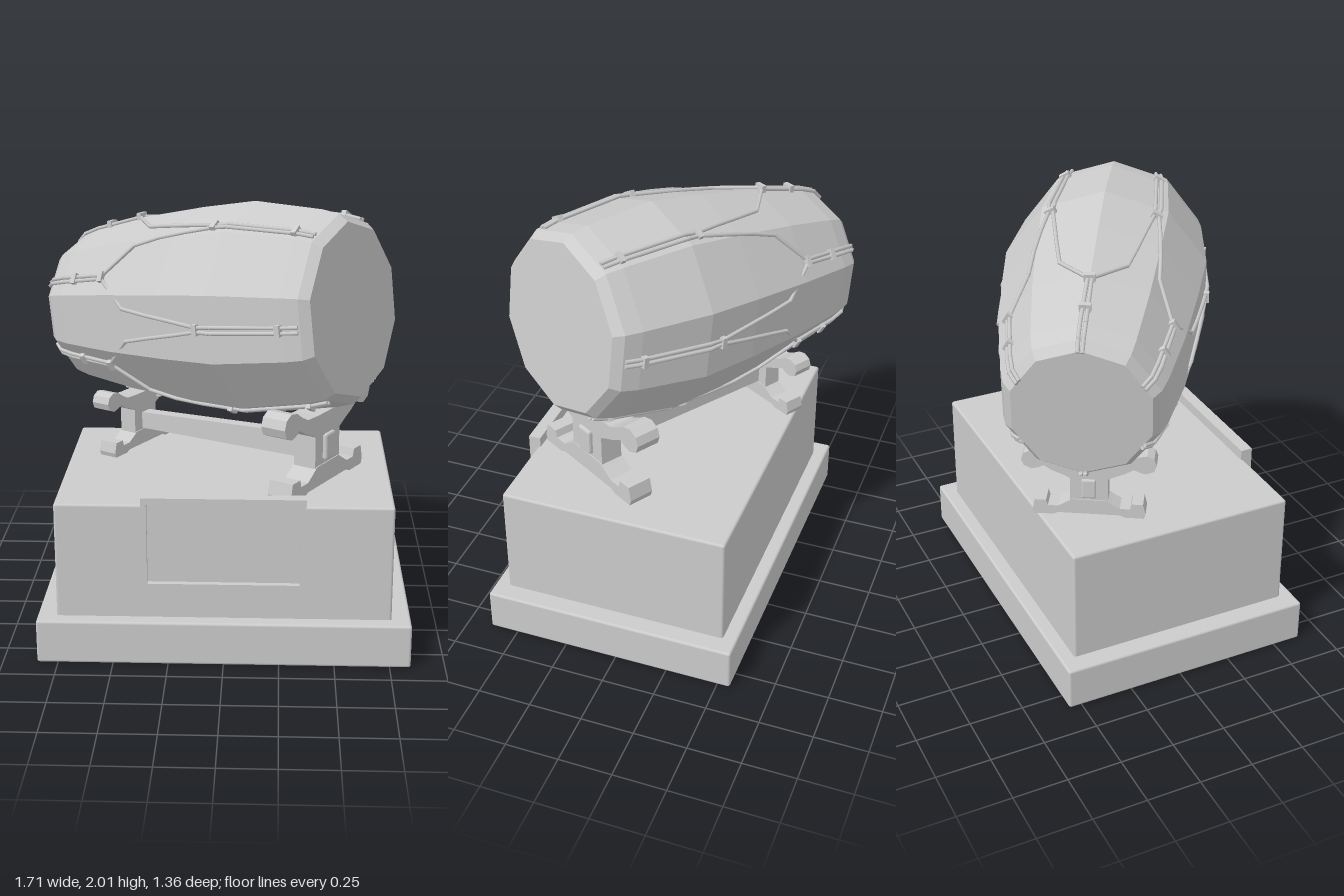
import * as THREE from 'three';
import { RoundedBoxGeometry } from 'three/addons/geometries/RoundedBoxGeometry.js';
import { mergeGeometries } from 'three/addons/utils/BufferGeometryUtils.js';

const smooth = new THREE.MeshStandardMaterial({ color: 0xcccccc });
const flat = new THREE.MeshStandardMaterial({ color: 0xcccccc, flatShading: true });
const rad = THREE.MathUtils.degToRad;

function add(parent, name, geometry, x = 0, y = 0, z = 0, material = flat) {
  const mesh = new THREE.Mesh(geometry, material);
  mesh.name = name;
  mesh.position.set(x, y, z);
  parent.add(mesh);
  return mesh;
}

// Barrel profile: [position along the axis, radius]
const PROFILE = [[-0.74, 0.31], [-0.7, 0.345], [-0.62, 0.37], [-0.33, 0.425], [0, 0.465],
  [0.28, 0.488], [0.62, 0.445], [0.7, 0.425], [0.74, 0.39]];

function radiusAt(t) {
  for (let i = 1; i < PROFILE.length; i++) {
    const [t0, r0] = PROFILE[i - 1], [t1, r1] = PROFILE[i];
    if (t <= t1) return r0 + (r1 - r0) * (t - t0) / (t1 - t0);
  }
  return PROFILE[PROFILE.length - 1][1];
}

// Point just above the ten-sided barrel at axis position t and angle a (degrees)
function onBarrel(t, a, lift = 0.008) {
  const inFacet = ((a - 90) % 36 + 36) % 36 - 18;
  const r = radiusAt(t) * Math.cos(rad(18)) / Math.cos(rad(inFacet)) + lift;
  return new THREE.Vector3(t, r * Math.sin(rad(a)), r * Math.cos(rad(a)));
}

function rod(a, b, r) {
  const dir = b.clone().sub(a);
  const g = new THREE.CylinderGeometry(r, r, dir.length() + r, 6);
  g.applyQuaternion(new THREE.Quaternion().setFromUnitVectors(new THREE.Vector3(0, 1, 0), dir.normalize()));
  const mid = a.clone().add(b).multiplyScalar(0.5);
  return g.translate(mid.x, mid.y, mid.z);
}

function makeDrum() {
  const drum = new THREE.Group();
  drum.name = 'drum';
  const pts = [[-0.74, 0], ...PROFILE, [0.74, 0]].map(([t, r]) => new THREE.Vector2(r, t));
  add(drum, 'barrel', new THREE.LatheGeometry(pts, 10, Math.PI / 2).rotateZ(-Math.PI / 2));

  // Paired cords that part at one knot and join their neighbours at the next
  const cords = [], knots = [];
  const knot = (t, a) => {
    const p = onBarrel(t, a);
    knots.push(new THREE.BoxGeometry(0.024, 0.034, 0.05)
      .rotateX(rad(90 - a)).translate(p.x, p.y, p.z));
  };
  for (let k = 0; k < 6; k++) {
    const a = 30 + 60 * k;
    for (const s of [-1, 1]) {
      const path = [[-0.745, 1.8], [-0.7, 1.8], [-0.62, 1.8], [-0.36, 1.2], [-0.21, 20], [-0.07, 23.3],
        [0.07, 26], [0.21, 28.8], [0.28, 28.4], [0.62, 28.4], [0.69, 28.4]]
        .map(([t, off]) => onBarrel(t, a + s * off));
      for (let i = 1; i < path.length; i++) cords.push(rod(path[i - 1], path[i], 0.009));
    }
    for (const t of [-0.54, -0.36]) knot(t, a);
    for (const t of [0.21, 0.61]) knot(t, a + 30);
  }
  add(drum, 'cords', mergeGeometries(cords), 0, 0, 0, smooth);
  add(drum, 'cordKnots', mergeGeometries(knots));

  drum.rotation.set(0, rad(-31), rad(6.6), 'YXZ');
  drum.position.set(-0.065, 1.495, -0.045);
  return drum;
}

// Mirrored outline, extruded about its middle
function mirroredSlab(half, depth) {
  const all = [...half, ...half.slice().reverse().map(([x, y]) => [-x, y])];
  const shape = new THREE.Shape(all.map(([x, y]) => new THREE.Vector2(x, y)));
  return new THREE.ExtrudeGeometry(shape, { depth, bevelEnabled: false }).translate(0, 0, -depth / 2);
}

function makeStand(name, x, z, scale, outward) {
  const stand = new THREE.Group();
  stand.name = name;
  add(stand, 'cradle', mirroredSlab([[0.1, 0.25], [0.15, 0.275], [0.21, 0.3], [0.26, 0.33], [0.29, 0.315],
    [0.33, 0.305], [0.375, 0.325], [0.39, 0.365], [0.375, 0.405], [0.335, 0.425], [0.285, 0.415],
    [0.24, 0.385], [0.19, 0.36], [0.1, 0.355]], 0.12));
  add(stand, 'post', new THREE.BoxGeometry(0.22, 0.26, 0.11), 0, 0.17, 0);
  add(stand, 'foot', mirroredSlab([[0.1, 0.015], [0.18, 0.015], [0.21, 0], [0.32, 0], [0.33, 0.03], [0.315, 0.095],
    [0.25, 0.095], [0.24, 0.06], [0.18, 0.06], [0.13, 0.09], [0.1, 0.11]], 0.12));
  add(stand, 'badge', new RoundedBoxGeometry(0.085, 0.125, 0.03, 1, 0.01), 0, 0.19, outward * 0.06);
  stand.scale.set(scale, scale, scale);
  stand.rotation.y = rad(59);
  stand.position.set(x, 0.745, z);
  return stand;
}

export function createModel() {
  const model = new THREE.Group();
  model.name = 'drumOnPedestal';

  // Pedestal
  add(model, 'baseSlab', new RoundedBoxGeometry(1.69, 0.205, 1.195, 2, 0.012), 0, 0.1025, 0.037, smooth);
  add(model, 'plinth', new RoundedBoxGeometry(1.514, 0.56, 1.065, 2, 0.012), 0, 0.466, 0.037, smooth);

  // Plaque with a raised border
  const border = new THREE.Shape([[-0.365, 0.355], [0.365, 0.355], [0.365, 0.795], [-0.365, 0.795]]
    .map((p) => new THREE.Vector2(...p)));
  border.holes.push(new THREE.Path([[-0.34, 0.387], [-0.34, 0.765], [0.34, 0.765], [0.34, 0.387]]
    .map((p) => new THREE.Vector2(...p))));
  add(model, 'plaqueFrame', new THREE.ExtrudeGeometry(border, { depth: 0.057, bevelEnabled: false }), 0, 0, 0.555);
  add(model, 'plaquePanel', new THREE.BoxGeometry(0.7, 0.4, 0.03), 0, 0.575, 0.57);

  // Stands and the tapered beam joining them
  model.add(makeStand('frontStand', 0.415, 0.24, 1, 1));
  model.add(makeStand('rearStand', -0.45, -0.275, 0.77, -1));
  const beamShape = new THREE.Shape([[-0.48, 0.835], [0.46, 0.86], [0.46, 0.975], [-0.48, 0.915]]
    .map((p) => new THREE.Vector2(...p)));
  const beam = add(model, 'beam', new THREE.ExtrudeGeometry(beamShape, { depth: 0.06, bevelEnabled: false })
    .translate(0, 0, -0.03), -0.01, 0, -0.015);
  beam.rotation.y = rad(-31);

  model.add(makeDrum());
  return model;
}
